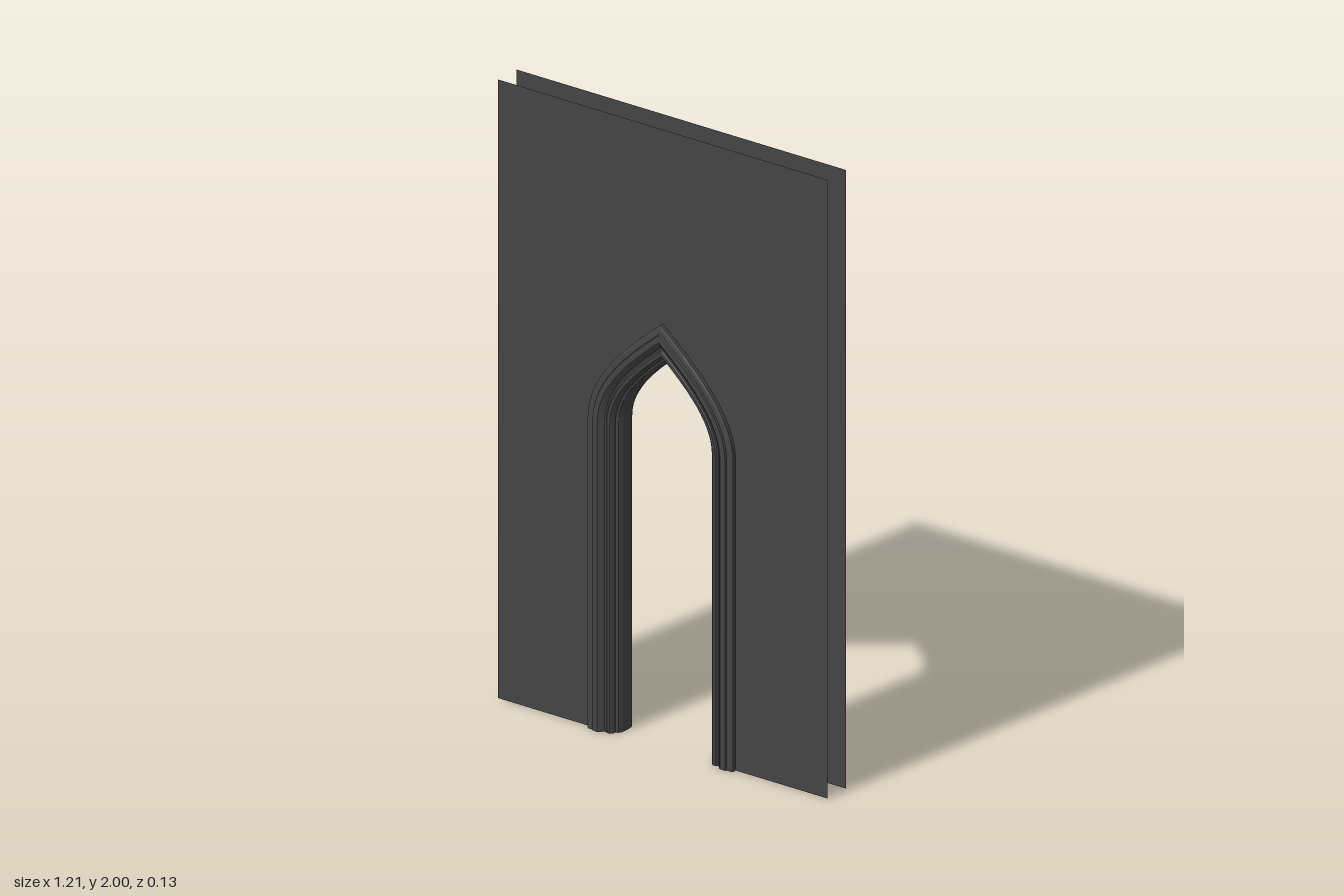
import * as THREE from 'three';
import { toCreasedNormals } from 'three/addons/utils/BufferGeometryUtils.js';

const SPRING = 1; // height where the jambs turn into the arch
const WALL_HALF = 0.607;
const WALL_Z = 0.045;
const ARCH_STEPS = 14;

// Pointed-arch outline of half width w, from the left foot over the apex to the right foot
function archPath(w) {
  const h = 0.24 + (w - 0.165) * 1.286;
  const half = new THREE.CubicBezierCurve(
    new THREE.Vector2(w, SPRING),
    new THREE.Vector2(w, SPRING + 0.37 * h),
    new THREE.Vector2(0.52 * w, SPRING + 0.69 * h),
    new THREE.Vector2(0, SPRING + h)
  ).getPoints(ARCH_STEPS);
  const left = [new THREE.Vector2(w, 0), ...half];
  const right = left.slice(0, -1).reverse().map((p) => new THREE.Vector2(-p.x, p.y));
  return [...left, ...right];
}

// Moulding section: half width and depth, from the outer edge to the inner reveal
const frontProfile = [
  [0.268, 0.026], [0.268, 0.057], [0.262, 0.061], [0.247, 0.061],
  [0.244, 0.066], [0.226, 0.066], [0.218, 0.06], [0.21, 0.051],
  [0.204, 0.051], [0.199, 0.055], [0.189, 0.054], [0.182, 0.047],
  [0.18, 0.038], [0.172, 0.034], [0.167, 0.025], [0.165, 0.014],
];

// Every section point traces its own arch, and the strips between them form the moulding
function mouldingGeometry() {
  const profile = [...frontProfile, ...frontProfile.slice().reverse().map(([w, z]) => [w, -z])];
  const positions = [];
  const index = [];
  const count = archPath(0.2).length;
  profile.forEach(([w, z], j) => {
    archPath(w).forEach((p, i) => {
      positions.push(p.x, p.y, z);
      if (j < profile.length - 1 && i < count - 1) {
        const a = j * count + i;
        const c = a + count;
        index.push(a, a + 1, c, a + 1, c + 1, c);
      }
    });
  });
  const geometry = new THREE.BufferGeometry();
  geometry.setAttribute('position', new THREE.Float32BufferAttribute(positions, 3));
  geometry.setIndex(index);
  return toCreasedNormals(geometry, 0.6);
}

// Flat wall sheet with the doorway cut out from the ground up
function wallGeometry() {
  const shape = new THREE.Shape([
    new THREE.Vector2(WALL_HALF, 0),
    new THREE.Vector2(WALL_HALF, 2),
    new THREE.Vector2(-WALL_HALF, 2),
    new THREE.Vector2(-WALL_HALF, 0),
    ...archPath(0.266).reverse(),
  ]);
  return new THREE.ShapeGeometry(shape);
}

export function createModel() {
  const group = new THREE.Group();
  group.name = 'archedDoorway';
  const stone = new THREE.MeshStandardMaterial({ color: 0x444444, side: THREE.DoubleSide });

  // Front and back wall faces
  const wall = wallGeometry();
  for (const side of [1, -1]) {
    const mesh = new THREE.Mesh(wall, stone);
    mesh.name = side > 0 ? 'frontWall' : 'backWall';
    mesh.position.z = side * WALL_Z;
    if (side < 0) mesh.rotation.y = Math.PI;
    group.add(mesh);
  }

  // Moulded frame lining the opening
  const frame = new THREE.Mesh(mouldingGeometry(), stone);
  frame.name = 'archMoulding';
  group.add(frame);

  return group;
}
